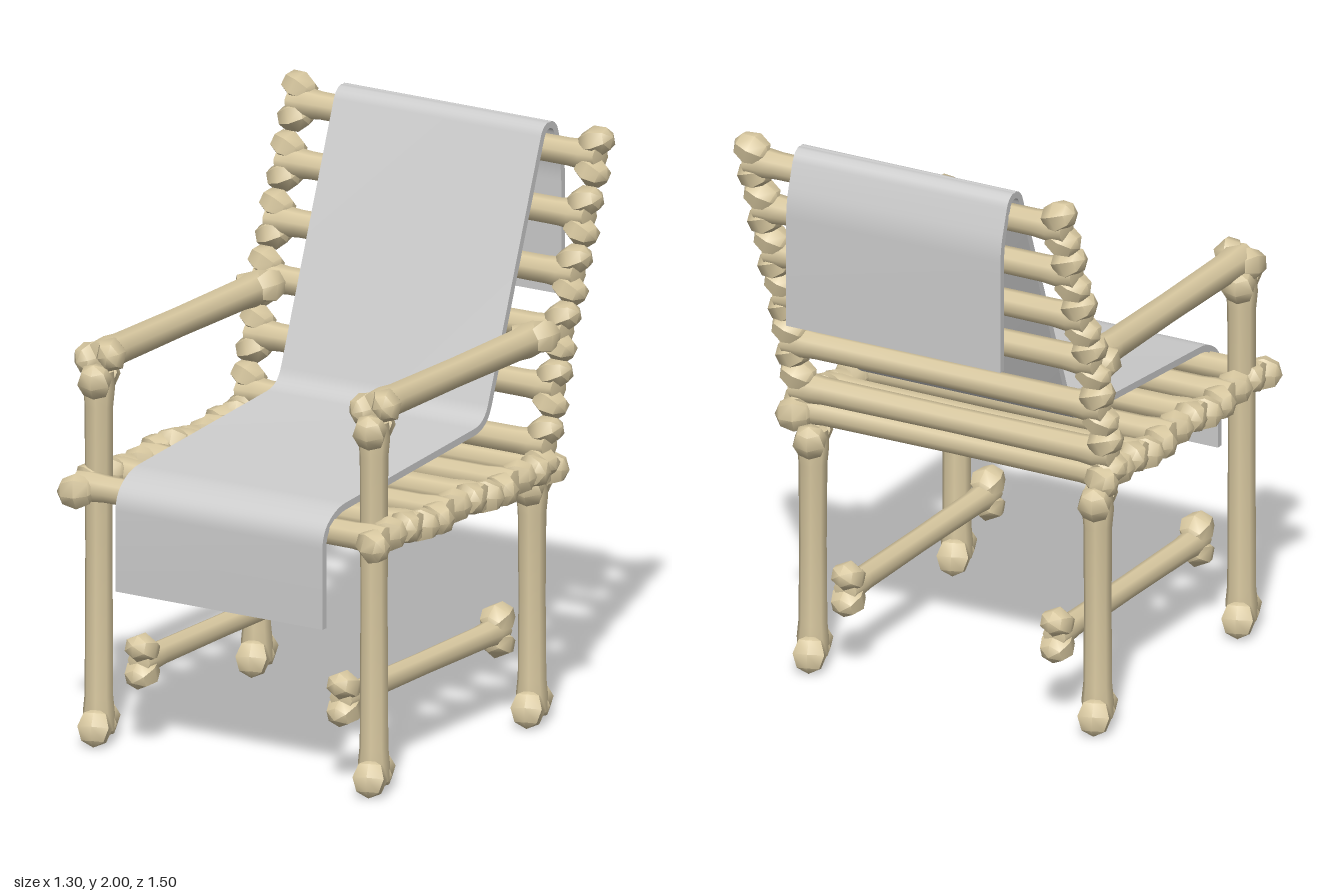
import * as THREE from 'three';
import { mergeGeometries, toCreasedNormals } from 'three/addons/utils/BufferGeometryUtils.js';

const V = (x, y, z) => new THREE.Vector3(x, y, z);
const boneMaterial = new THREE.MeshStandardMaterial({ color: 0xd8c8a0 });
const clothMaterial = new THREE.MeshStandardMaterial({ color: 0xcccccc, side: THREE.DoubleSide });

// A bone from tip to tip: flared shaft plus two angular lobes at each end, set apart along "spread"
function bone(name, from, to, spread, radius = 0.047, apart = 0.05) {
  const length = from.distanceTo(to), h = length / 2;
  const profile = [
    [0, -h + 0.03], [radius * 1.05, -h + 0.04], [radius * 1.12, -h + 0.1], [radius, -h + 0.16],
    [radius * 0.95, 0],
    [radius, h - 0.16], [radius * 1.12, h - 0.1], [radius * 1.05, h - 0.04], [0, h - 0.03],
  ].map(([r, y]) => new THREE.Vector2(r, y));
  const parts = [new THREE.LatheGeometry(profile, 8)];
  for (const end of [-1, 1]) {
    for (const side of [-1, 1]) {
      const lobe = new THREE.SphereGeometry(1, 6, 4);
      lobe.scale(0.054, 0.066, 0.062);
      lobe.rotateZ(-side * end * 0.35);
      lobe.translate(side * apart, end * (h - 0.062), 0);
      parts.push(lobe);
    }
  }
  const geometry = toCreasedNormals(mergeGeometries(parts.map((p) => p.toNonIndexed())), 0.9);
  const axis = to.clone().sub(from).normalize();
  const across = spread.clone().addScaledVector(axis, -spread.dot(axis)).normalize();
  const mesh = new THREE.Mesh(geometry, boneMaterial);
  mesh.name = name;
  mesh.applyMatrix4(new THREE.Matrix4().makeBasis(across, axis, across.clone().cross(axis)));
  mesh.position.copy(from).add(to).multiplyScalar(0.5);
  return mesh;
}

// Cloth sheet: a side path given as [z, y], thickened and extruded across the chair
function drape() {
  const corners = [
    [0.72, 0.58], [0.72, 0.91, 0.05], [0.64, 0.97, 0.05], [-0.265, 1.038, 0.07],
    [-0.625, 1.985, 0.035], [-0.685, 1.985, 0.035], [-0.738, 1.82, 0.05], [-0.738, 1.38],
  ];
  const path = [];
  corners.forEach(([z, y, r], i) => {
    const p = new THREE.Vector2(z, y);
    if (!r) return path.push(p);
    const toward = (j) => new THREE.Vector2(corners[j][0], corners[j][1]).sub(p).setLength(r).add(p);
    const bend = new THREE.QuadraticBezierCurve(toward(i - 1), p, toward(i + 1));
    path.push(...bend.getPoints(6));
  });
  const offset = (d) => path.map((p, i) => {
    const t = path[Math.min(i + 1, path.length - 1)].clone().sub(path[Math.max(i - 1, 0)]).normalize();
    return new THREE.Vector2(p.x - t.y * d, p.y + t.x * d);
  });
  const outline = new THREE.Shape([...offset(0.012), ...offset(-0.012).reverse()]);
  const geometry = new THREE.ExtrudeGeometry(outline, { depth: 0.82, bevelEnabled: false });
  geometry.rotateY(-Math.PI / 2);
  geometry.translate(0.41, 0, 0);
  const mesh = new THREE.Mesh(toCreasedNormals(geometry, 0.7), clothMaterial);
  mesh.name = 'drapedCloth';
  return mesh;
}

export function createModel() {
  const chair = new THREE.Group();
  chair.name = 'boneChair';

  // Seat slats, front to back
  const seat = new THREE.Group();
  seat.name = 'seat';
  for (let i = 0; i < 6; i++) {
    const z = 0.65 - i * 0.197;
    seat.add(bone('seatSlat', V(-0.65, 0.9, z), V(0.65, 0.9, z), V(0, i % 2 ? 0.15 : -0.2, 1)));
  }

  // Reclined back slats, bottom to top as [y, z]
  const back = new THREE.Group();
  back.name = 'backrest';
  const rows = [[0.98, -0.345], [1.165, -0.4], [1.35, -0.45], [1.53, -0.52], [1.715, -0.588], [1.905, -0.655]];
  for (const [y, z] of rows) {
    back.add(bone('backSlat', V(-0.65, y, z), V(0.65, y, z), V(0, 0.97, -0.25)));
  }

  // Legs, armrest and stretcher on each side
  const frame = new THREE.Group();
  frame.name = 'frame';
  for (const [side, x, xs] of [['right', -0.57, -0.41], ['left', 0.52, 0.39]]) {
    frame.add(
      bone(side + 'FrontLeg', V(x, 0, 0.587), V(x, 1.325, 0.587), V(0.35, 0, 1), 0.049, 0.058),
      bone(side + 'RearLeg', V(x, 0, -0.378), V(x, 0.89, -0.378), V(0.35, 0, 1), 0.049, 0.058),
      bone(side + 'Armrest', V(x + 0.008, 1.335, 0.645), V(x + 0.008, 1.335, -0.435), V(1, 0.3, 0), 0.053, 0.04),
      bone(side + 'Stretcher', V(xs, 0.3, 0.63), V(xs, 0.3, -0.43), V(0, 1, 0), 0.042, 0.042),
    );
  }

  chair.add(seat, back, frame, drape());
  return chair;
}
